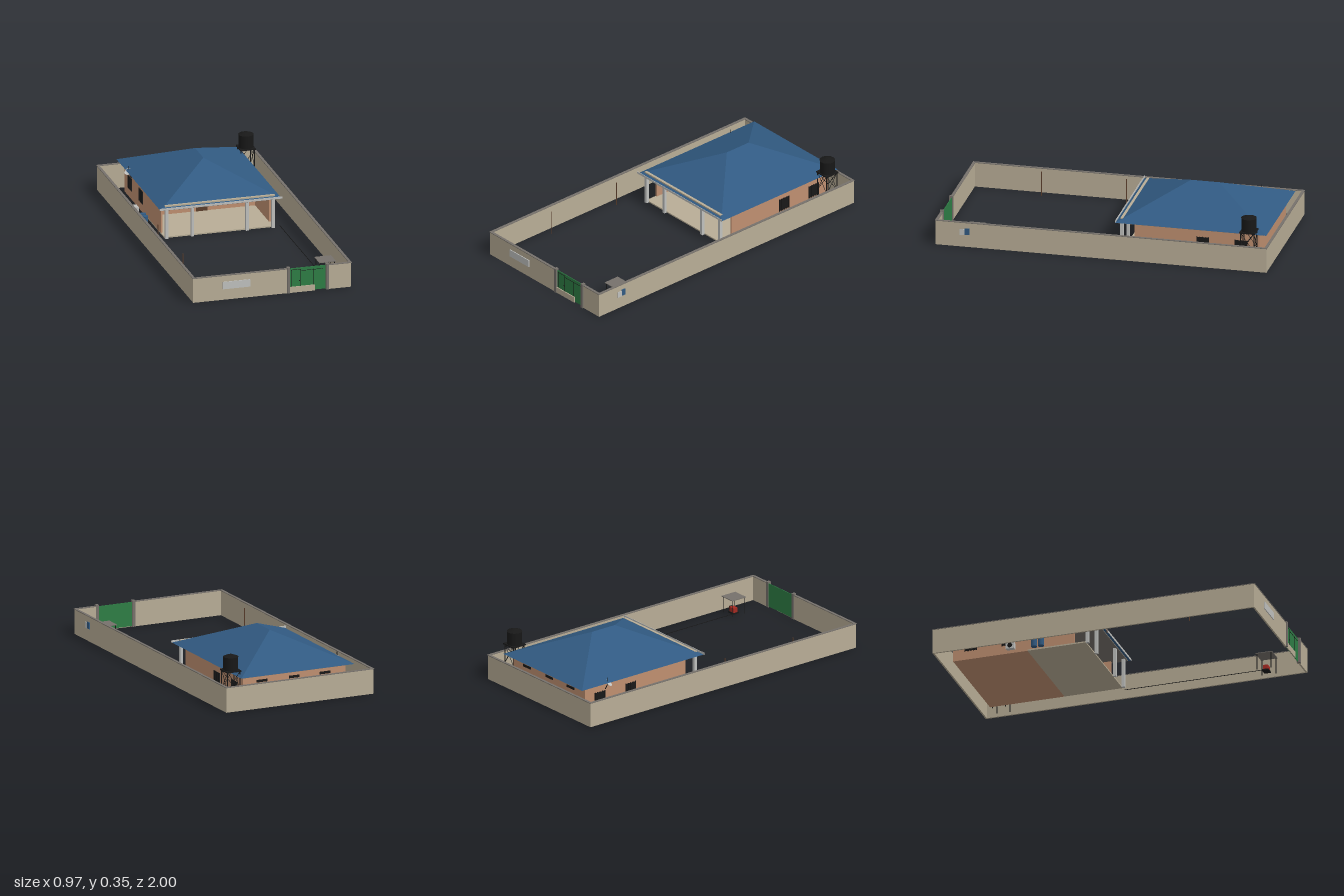
import * as THREE from 'three';

const mat = (name, color) => {
  const m = new THREE.MeshStandardMaterial({ color });
  m.name = name;
  return m;
};

export function createModel() {
  const beige = mat('wall beige', 0xb8ad96);
  const blue = mat('roof blue', 0x315a82);
  const orange = mat('house clay', 0xbf8f70);
  const grey = mat('stone grey', 0x76716b);
  const pale = mat('pale grey', 0xbfc0be);
  const green = mat('gate green', 0x2e7d45);
  const black = mat('black', 0x181818);
  const red = mat('pump red', 0xa62a22);
  const brown = mat('pole brown', 0x5c3f2c);

  const model = new THREE.Group();
  const add = (name, geo, m, x = 0, y = 0, z = 0) => {
    const mesh = new THREE.Mesh(geo, m);
    mesh.name = name;
    mesh.position.set(x, y, z);
    model.add(mesh);
    return mesh;
  };
  // Box given by its limits on each axis
  const box = (name, m, x0, x1, y0, y1, z0, z1) =>
    add(name, new THREE.BoxGeometry(x1 - x0, y1 - y0, z1 - z0), m, (x0 + x1) / 2, (y0 + y1) / 2, (z0 + z1) / 2);
  // Thin rod between two points
  const rod = (name, m, a, b, r) => {
    const p = new THREE.Vector3(...a), q = new THREE.Vector3(...b);
    const d = q.clone().sub(p);
    const mesh = add(name, new THREE.CylinderGeometry(r, r, d.length(), 6), m);
    mesh.position.copy(p).add(q).multiplyScalar(0.5);
    mesh.quaternion.setFromUnitVectors(new THREE.Vector3(0, 1, 0), d.normalize());
  };

  // Compound walls with coping
  const wall = (x0, x1, z0, z1) => {
    box('compoundWall', beige, x0, x1, 0, 0.149, z0, z1);
    const e = 0.003;
    box('coping', grey, x0 - e, x1 + e, 0.149, 0.153, z0 - e, z1 + e);
  };
  for (const s of [-1, 1]) wall(Math.min(s * 0.482, s * 0.472), Math.max(s * 0.482, s * 0.472), -0.997, 0.993);
  wall(-0.472, 0.472, -0.997, -0.987);
  wall(-0.472, 0.095, 0.983, 0.993);
  wall(0.342, 0.472, 0.983, 0.993);

  // Gate, its pillars and the low wall before it
  for (const x of [0.099, 0.337]) box('gatePillar', grey, x - 0.009, x + 0.009, 0, 0.16, 0.978, 1);
  box('gate', green, 0.108, 0.328, 0.004, 0.15, 0.984, 0.988);
  box('gateLowWall', beige, 0.108, 0.262, 0, 0.036, 0.988, 0.994);
  const seam = (x0, x1, y0, y1) => box('gateSeam', black, x0, x1, y0, y1, 0.988, 0.99);
  seam(0.117, 0.119, 0.036, 0.141);
  seam(0.174, 0.176, 0.036, 0.141);
  seam(0.117, 0.176, 0.139, 0.141);
  seam(0.176, 0.312, 0.13, 0.132);
  seam(0.255, 0.257, 0.036, 0.136);
  seam(0.165, 0.171, 0.068, 0.074);

  // Wall plates
  box('frontPlate', pale, -0.302, -0.135, 0.067, 0.112, 0.993, 0.998);
  box('sidePlate', pale, 0.482, 0.485, 0.073, 0.11, 0.818, 0.848);
  box('sideBluePlate', blue, 0.482, 0.486, 0.076, 0.116, 0.79, 0.818);

  // House: closed rooms behind a deep open veranda
  box('rooms', orange, -0.335, 0.335, 0, 0.18, -0.92, -0.46);
  box('verandaFloor', beige, -0.335, 0.335, 0, 0.008, -0.46, -0.1);
  for (const s of [-1, 1]) {
    box('verandaSideWall', orange, s * 0.33 - 0.005, s * 0.33 + 0.005, 0.008, 0.18, -0.46, -0.17);
    for (const x of [0.167, 0.325]) box('verandaPost', pale, s * x - 0.009, s * x + 0.009, 0, 0.18, -0.1, -0.082);
    // Side windows: dark pane with bars
    for (const z of [-0.58, -0.81]) {
      const x = s * 0.336;
      box('window', black, x - 0.002, x + 0.002, 0.055, 0.13, z - 0.036, z + 0.036);
      for (let i = -2; i <= 2; i++) box('windowBar', black, x - 0.004, x + 0.004, 0.052, 0.133, z + i * 0.018 - 0.002, z + i * 0.018 + 0.002);
    }
    box('frontWindow', black, s * 0.19 - 0.045, s * 0.19 + 0.045, 0.055, 0.13, -0.461, -0.457);
  }
  box('frontDoor', brown, -0.035, 0.035, 0.008, 0.135, -0.461, -0.457);
  for (const x of [0.21, 0, -0.2]) box('backVent', black, x - 0.035, x + 0.035, 0.137, 0.152, -0.923, -0.919);
  box('lamp', pale, -0.008, 0.016, 0.15, 0.167, -0.457, -0.445);

  // Hipped roof, each slope with its own corners for crisp edges
  const E = 0.187, T = 0.35;
  const a = [-0.37, E, -0.06], b = [0.37, E, -0.06], c = [0.37, E, -0.97], d = [-0.37, E, -0.97];
  const f = [0, T, -0.43], g = [0, T, -0.6];
  const tris = [a, b, f, c, d, g, b, c, g, b, g, f, d, a, f, d, f, g, a, d, c, a, c, b];
  const roof = new THREE.BufferGeometry();
  roof.setAttribute('position', new THREE.Float32BufferAttribute(tris.flat(), 3));
  roof.computeVertexNormals();
  add('roof', roof, blue);
  box('soffit', grey, -0.355, 0.355, 0.18, 0.1865, -0.95, -0.075);
  box('eaveBeam', beige, -0.335, 0.335, 0.18, 0.206, -0.1, -0.084);
  box('eaveFascia', pale, -0.375, 0.375, 0.187, 0.2, -0.062, -0.0595);

  // Water tank on its stand
  const tx = 0.39, tz = -0.87;
  add('tank', new THREE.CylinderGeometry(0.044, 0.044, 0.08, 16), black, tx, 0.261, tz);
  add('tankLid', new THREE.CylinderGeometry(0.012, 0.046, 0.013, 16), black, tx, 0.307, tz);
  box('tankPlatform', black, tx - 0.047, tx + 0.047, 0.213, 0.221, tz - 0.047, tz + 0.047);
  for (const s of [-1, 1]) {
    for (const t of [-1, 1]) {
      rod('tankLeg', black, [tx + s * 0.04, 0, tz + t * 0.04], [tx + s * 0.04, 0.215, tz + t * 0.04], 0.003);
      rod('tankBrace', black, [tx + s * 0.04, 0.215, tz + t * 0.04], [tx - s * 0.04, 0.1, tz + t * 0.04], 0.0015);
      rod('tankBrace', black, [tx + s * 0.04, 0.215, tz + t * 0.04], [tx + s * 0.04, 0.1, tz - t * 0.04], 0.0015);
    }
  }

  // Pump shelter and the pipe to the house
  box('shelterRoof', grey, 0.338, 0.44, 0.1, 0.104, 0.72, 0.822);
  for (const x of [0.345, 0.433]) for (const z of [0.728, 0.814]) rod('shelterLeg', black, [x, 0, z], [x, 0.1, z], 0.0025);
  box('pump', red, 0.37, 0.41, 0.008, 0.036, 0.755, 0.785);
  box('pumpBase', black, 0.365, 0.415, 0, 0.008, 0.75, 0.79);
  rod('pumpWheel', black, [0.41, 0.024, 0.77], [0.42, 0.024, 0.77], 0.014);
  rod('pipe', black, [0.37, 0.004, -0.1], [0.37, 0.004, 0.76], 0.002);

  // Yard poles
  for (const z of [0.06, 0.57]) rod('yardPole', brown, [-0.42, 0, z], [-0.42, 0.15, z], 0.003);

  // Barrels, cooling unit and dish on the side wall
  for (const z of [-0.405, -0.362]) add('barrel', new THREE.CylinderGeometry(0.018, 0.018, 0.05, 14), blue, -0.375, 0.025, z);
  box('coolingUnit', pale, -0.392, -0.365, 0.005, 0.045, -0.575, -0.525);
  rod('coolingFan', black, [-0.394, 0.025, -0.55], [-0.391, 0.025, -0.55], 0.016);
  rod('dishPole', black, [-0.337, 0.14, -0.77], [-0.355, 0.17, -0.77], 0.003);
  rod('dishArm', black, [-0.355, 0.165, -0.77], [-0.355, 0.215, -0.77], 0.002);
  const dishMat = pale.clone();
  dishMat.side = THREE.DoubleSide;
  const profile = [[0, 0], [0.01, 0.001], [0.018, 0.004], [0.024, 0.008]].map(p => new THREE.Vector2(...p));
  const dish = add('dish', new THREE.LatheGeometry(profile, 16), dishMat, -0.355, 0.178, -0.765);
  dish.rotation.set(0.5, 0, 0.6);

  return model;
}
